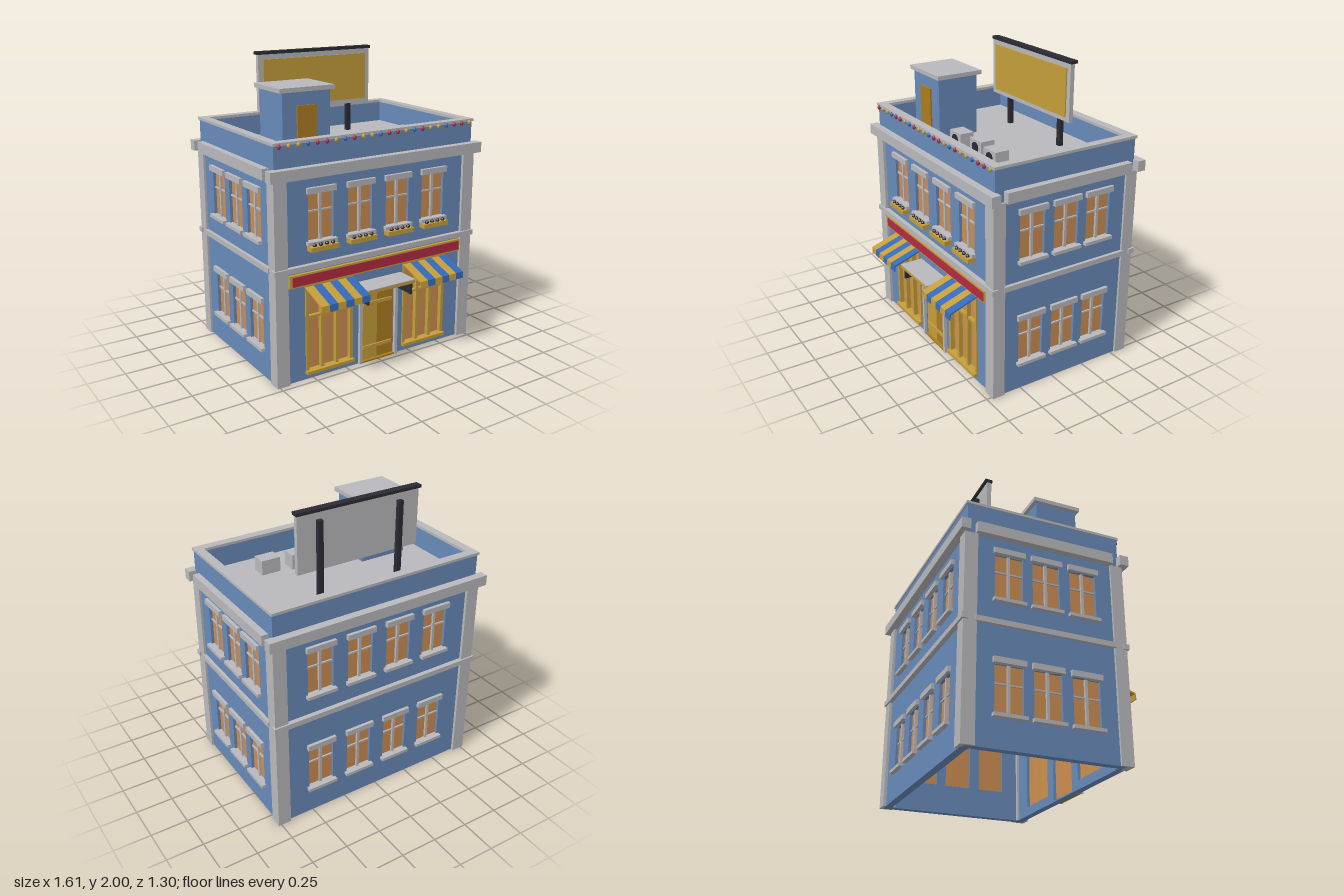
import * as THREE from 'three';

const mat = (name, color) => {
  const m = new THREE.MeshStandardMaterial({ color });
  m.name = name;
  return m;
};

export function createModel() {
  const wall = mat('blue wall', 0x688aba);
  const trim = mat('grey stone', 0xb9b9bd);
  const glass = mat('warm glass', 0xcd8e53);
  const gold = mat('gold paint', 0xc59e3b);
  const amber = mat('amber wood', 0xac7c20);
  const dark = mat('dark metal', 0x2b2c34);
  const red = mat('red paint', 0xb32b42);
  const blue = mat('blue fabric', 0x346abb);

  const model = new THREE.Group();
  model.name = 'cornerShop';

  const mesh = (parent, name, geometry, material) => {
    const m = new THREE.Mesh(geometry, material);
    m.name = name;
    parent.add(m);
    return m;
  };
  // Box given by its extents on each axis
  const box = (parent, name, material, [x0, x1], [y0, y1], [z0, z1]) => {
    const m = mesh(parent, name, new THREE.BoxGeometry(x1 - x0, y1 - y0, z1 - z0), material);
    m.position.set((x0 + x1) / 2, (y0 + y1) / 2, (z0 + z1) / 2);
    return m;
  };
  const rect = (target, x0, x1, y0, y1) => {
    target.moveTo(x0, y0);
    target.lineTo(x1, y0);
    target.lineTo(x1, y1);
    target.lineTo(x0, y1);
    target.closePath();
    return target;
  };

  // Wall slab with openings; its outer face is the local plane z = 0
  const makeWall = (name, halfWidth, angle, distance, openings) => {
    const side = new THREE.Group();
    side.name = name;
    const shape = rect(new THREE.Shape(), -halfWidth, halfWidth, 0, 1.54);
    for (const o of openings) shape.holes.push(rect(new THREE.Path(), ...o));
    const geometry = new THREE.ExtrudeGeometry(shape, { depth: 0.05, bevelEnabled: false });
    geometry.translate(0, 0, -0.05);
    mesh(side, name + 'Slab', geometry, wall);
    for (const [x0, x1, y0, y1] of openings) {
      box(side, 'glass', glass, [x0, x1], [y0, y1], [-0.03, -0.02]);
    }
    side.rotation.y = angle;
    side.position.set(Math.sin(angle) * distance, 0, -0.075 + Math.cos(angle) * distance);
    model.add(side);
    return side;
  };

  // Sash window with lintel, sill and glazing bars
  const W = 0.091;
  const opening = (x, y) => [x - W, x + W, y, y + 0.31];
  const dressWindow = (side, x, y) => {
    box(side, 'lintel', trim, [x - 0.104, x + 0.104], [y + 0.31, y + 0.347], [-0.01, 0.022]);
    box(side, 'sill', trim, [x - 0.106, x + 0.106], [y - 0.015, y + 0.007], [-0.03, 0.03]);
    box(side, 'mullion', trim, [x - 0.009, x + 0.009], [y, y + 0.31], [-0.025, -0.005]);
    box(side, 'glazingBar', trim, [x - W, x + W], [y + 0.188, y + 0.198], [-0.025, -0.01]);
  };

  const LOW = 0.197, HIGH = 0.915;
  const wideXs = [-0.435, -0.145, 0.145, 0.435];
  const sideXs = [-0.253, 0, 0.247];
  const shopOpenings = [-1, 1].map((s) => [s * 0.378 - 0.165, s * 0.378 + 0.165, 0.06, 0.635]);

  const front = makeWall('frontWall', 0.755, 0, 0.52,
    [...wideXs.map((x) => opening(x, HIGH)), ...shopOpenings, [-0.13, 0.13, 0.01, 0.5]]);
  wideXs.forEach((x) => dressWindow(front, x, HIGH));

  const plainWalls = [
    ['backWall', 0.755, Math.PI, 0.52, wideXs],
    ['leftWall', 0.47, Math.PI / 2, 0.755, sideXs],
    ['rightWall', 0.47, -Math.PI / 2, 0.755, sideXs.map((x) => -x)],
  ];
  for (const [name, half, angle, distance, xs] of plainWalls) {
    const spots = [LOW, HIGH].flatMap((y) => xs.map((x) => [x, y]));
    const side = makeWall(name, half, angle, distance, spots.map((p) => opening(...p)));
    spots.forEach((p) => dressWindow(side, ...p));
  }

  // Flower boxes under the upper front windows
  for (const x of wideXs) {
    box(front, 'flowerBox', gold, [x - 0.1, x + 0.1], [0.865, 0.895], [0, 0.055]);
    for (let i = 0; i < 4; i++) {
      const plant = mesh(front, 'plant', new THREE.IcosahedronGeometry(0.015, 0), dark);
      plant.position.set(x - 0.066 + i * 0.044, 0.902, 0.035);
    }
  }

  // Corner pilasters, belt course and cornice
  for (const s of [-1, 1]) {
    const span = (a, b) => (s > 0 ? [a, b] : [-b, -a]);
    for (const [z, n] of [[[0.38, 0.465], 'frontPilaster'], [[-0.615, -0.53], 'backPilaster']]) {
      box(model, n, trim, span(0.68, 0.77), [0, 1.33], z);
    }
    box(model, 'sideBelt', trim, span(0.74, 0.778), [0.745, 0.78], [-0.54, 0.39]);
    box(model, 'sideCornice', trim, span(0.74, 0.8), [1.33, 1.4], [-0.545, 0.385]);
  }
  box(model, 'frontBelt', trim, [-0.78, 0.78], [0.745, 0.78], [0.435, 0.477]);
  box(model, 'backBelt', trim, [-0.78, 0.78], [0.745, 0.78], [-0.627, -0.585]);
  box(model, 'frontCornice', trim, [-0.805, 0.805], [1.33, 1.4], [0.435, 0.497]);
  box(model, 'backCornice', trim, [-0.805, 0.805], [1.33, 1.4], [-0.65, -0.59]);

  // Roof deck and parapet cap
  box(model, 'roofDeck', trim, [-0.71, 0.71], [1.37, 1.4], [-0.55, 0.4]);
  const capShape = rect(new THREE.Shape(), -0.762, 0.762, -0.53, 0.53);
  capShape.holes.push(rect(new THREE.Path(), -0.703, 0.703, -0.468, 0.468));
  const capGeometry = new THREE.ExtrudeGeometry(capShape, { depth: 0.018, bevelEnabled: false });
  const cap = mesh(model, 'parapetCap', capGeometry.rotateX(-Math.PI / 2), trim);
  cap.position.set(0, 1.54, -0.075);

  // String of coloured bulbs along the front parapet
  const bulbColors = [red, gold, gold, blue, red, red, gold, blue];
  for (let i = 0; i < 23; i++) {
    const bulb = mesh(model, 'bulb', new THREE.SphereGeometry(0.012, 10, 8), bulbColors[i % 8]);
    bulb.scale.y = 1.3;
    bulb.position.set(-0.724 + i * 0.0658, 1.535, 0.458);
  }

  // Rooftop stair hut
  box(model, 'stairHut', wall, [-0.58, -0.24], [1.4, 1.81], [-0.045, 0.245]);
  box(model, 'stairHutRoof', trim, [-0.605, -0.215], [1.81, 1.838], [-0.07, 0.263]);
  box(model, 'stairHutDoor', amber, [-0.48, -0.342], [1.4, 1.725], [0.24, 0.256]);

  // Rooftop fan units
  for (const [x, z] of [[-0.06, 0.18], [0.147, 0.153], [0.357, 0.18]]) {
    box(model, 'fanUnit', trim, [x - 0.067, x + 0.067], [1.4, 1.5], [z - 0.05, z + 0.05]);
    const fan = mesh(model, 'fan', new THREE.CylinderGeometry(0.035, 0.035, 0.008, 16), dark);
    fan.rotation.x = Math.PI / 2;
    fan.position.set(x, 1.45, z + 0.052);
  }

  // Billboard
  box(model, 'billboardFrame', trim, [-0.445, 0.437], [1.6, 1.98], [-0.345, -0.315]);
  box(model, 'billboardPanel', gold, [-0.41, 0.402], [1.63, 1.947], [-0.316, -0.307]);
  box(model, 'billboardTopRail', dark, [-0.453, 0.447], [1.98, 2], [-0.36, -0.31]);
  for (const x of [-0.293, 0.289]) {
    box(model, 'billboardPost', dark, [x - 0.017, x + 0.017], [1.4, 1.93], [-0.375, -0.345]);
  }

  // Shop sign board
  box(front, 'signBoard', gold, [-0.672, 0.672], [0.645, 0.727], [0, 0.022]);
  box(front, 'signFace', red, [-0.652, 0.662], [0.655, 0.716], [0.02, 0.027]);

  // Shop windows with gold frames, and striped awnings
  for (const c of [-0.378, 0.378]) {
    for (const x of [-0.165, -0.055, 0.055, 0.165]) {
      box(front, 'shopMullion', gold, [c + x - 0.011, c + x + 0.011], [0.06, 0.64], [-0.03, 0.01]);
    }
    box(front, 'shopTransom', gold, [c - 0.165, c + 0.165], [0.415, 0.432], [-0.025, 0.005]);
    box(front, 'shopHead', gold, [c - 0.175, c + 0.175], [0.62, 0.642], [-0.025, 0.01]);
    box(front, 'shopSill', gold, [c - 0.178, c + 0.178], [0.04, 0.062], [-0.025, 0.032]);

    const profile = new THREE.Shape([
      [0, 0.635], [0.2, 0.568], [0.204, 0.525], [0.196, 0.525], [0.193, 0.56], [0, 0.626],
    ].map((p) => new THREE.Vector2(...p)));
    const stripe = 0.356 / 6;
    for (let i = 0; i < 6; i++) {
      const g = new THREE.ExtrudeGeometry(profile, { depth: stripe, bevelEnabled: false });
      g.rotateY(-Math.PI / 2);
      const m = mesh(front, 'awningStripe', g, i % 2 ? blue : gold);
      m.position.x = c - 0.178 + (i + 1) * stripe;
    }
  }

  // Entrance: double door, push bars, surround and canopy
  box(front, 'doorLeafRight', gold, [-0.13, 0], [0.01, 0.5], [-0.02, -0.005]);
  box(front, 'doorLeafLeft', amber, [0, 0.13], [0.01, 0.5], [-0.02, -0.005]);
  box(front, 'threshold', amber, [-0.13, 0.13], [0, 0.012], [-0.02, 0.015]);
  for (const y of [0.1, 0.41]) {
    box(front, 'doorBar', gold, [-0.113, 0.113], [y - 0.011, y + 0.011], [-0.01, 0.005]);
  }
  for (const s of [-1, 1]) {
    box(front, 'doorPost', trim, [s * 0.142 - 0.011, s * 0.142 + 0.011], [0, 0.51], [-0.02, 0.02]);
    box(front, 'canopyBracket', dark, [s * 0.17 - 0.007, s * 0.17 + 0.007], [0.47, 0.55], [0, 0.14]);
  }
  box(front, 'doorHead', trim, [-0.162, 0.162], [0.5, 0.54], [-0.02, 0.025]);
  box(front, 'canopy', gold, [-0.184, 0.184], [0.553, 0.573], [0, 0.16]);
  box(front, 'canopyTop', trim, [-0.184, 0.184], [0.573, 0.579], [0, 0.16]);

  return model;
}
